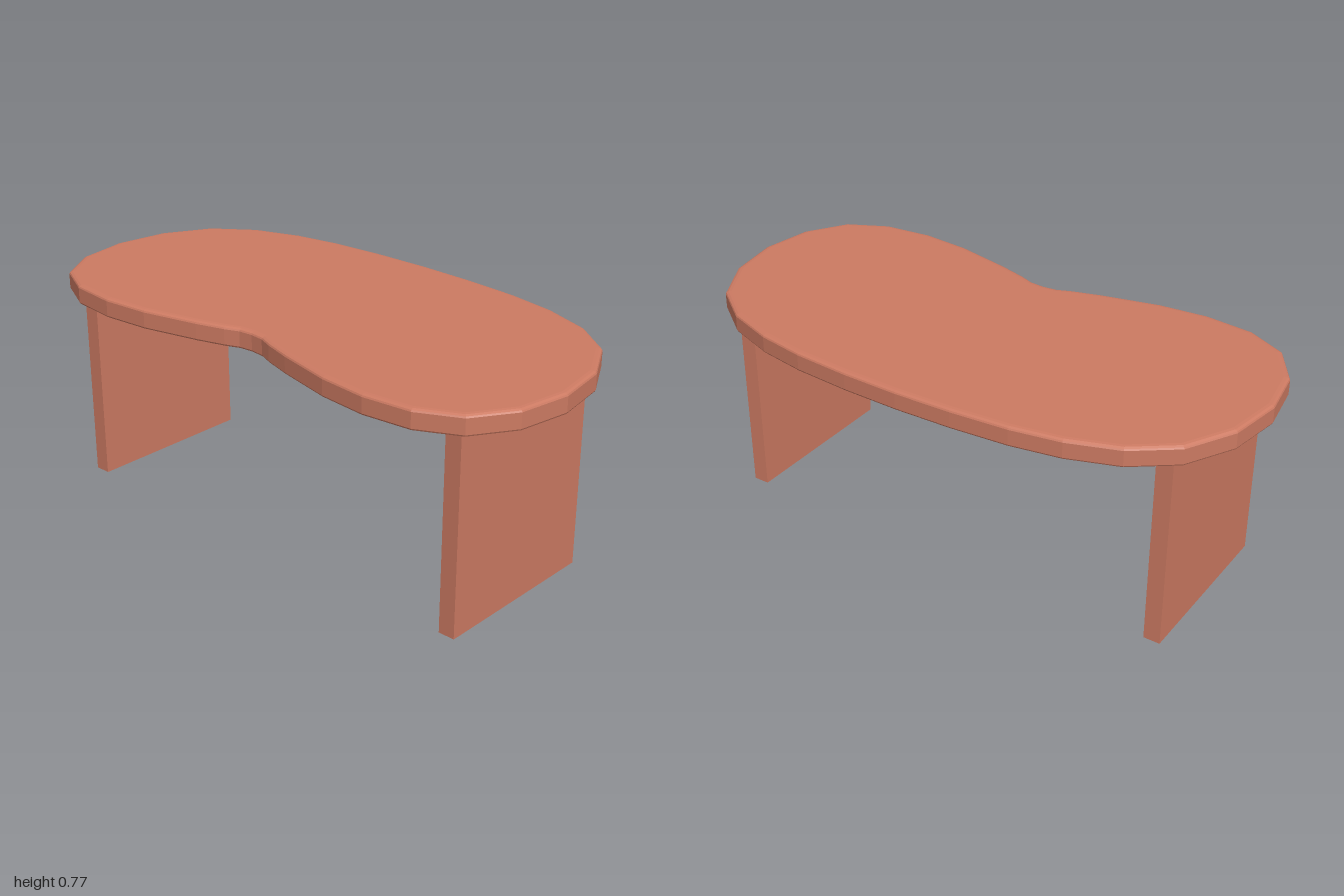
import * as THREE from 'three';

export function createModel() {
  const group = new THREE.Group();
  const material = new THREE.MeshStandardMaterial({ color: 0xcc7a62 });

  // Right half of the kidney outline (x, z), from back centre to front centre
  const half = [
    [0, -0.49], [0.2, -0.485], [0.4, -0.47], [0.57, -0.44], [0.74, -0.38],
    [0.88, -0.275], [0.97, -0.11], [1, 0.08], [0.97, 0.26], [0.88, 0.4],
    [0.74, 0.47], [0.57, 0.488], [0.4, 0.472], [0.2, 0.425], [0.1, 0.395],
    [0.05, 0.375], [0, 0.37],
  ];
  const mirrored = half.slice(1, -1).reverse().map(([x, z]) => [-x, z]);
  const outline = [...half, ...mirrored].map(([x, z]) => new THREE.Vector2(x, z));

  // Table top: slab with softly rounded rims
  const top = 0.768, bottom = 0.696, rimHeight = 0.01, rimInset = 0.02;
  const slab = new THREE.ExtrudeGeometry(new THREE.Shape(outline), {
    depth: top - bottom - 2 * rimHeight,
    bevelThickness: rimHeight,
    bevelSize: rimInset,
    bevelOffset: -rimInset,
    bevelSegments: 3,
  });
  slab.rotateX(Math.PI / 2);
  slab.translate(0, top - rimHeight, 0);
  const tableTop = new THREE.Mesh(slab, material);
  tableTop.name = 'tableTop';
  group.add(tableTop);

  // Panel legs, one at each end
  for (const side of [-1, 1]) {
    const leg = new THREE.Mesh(new THREE.BoxGeometry(0.058, 0.7, 0.622), material);
    leg.position.set(side * 0.813, 0.35, 0.055);
    leg.name = side > 0 ? 'leftLeg' : 'rightLeg';
    group.add(leg);
  }
  return group;
}
